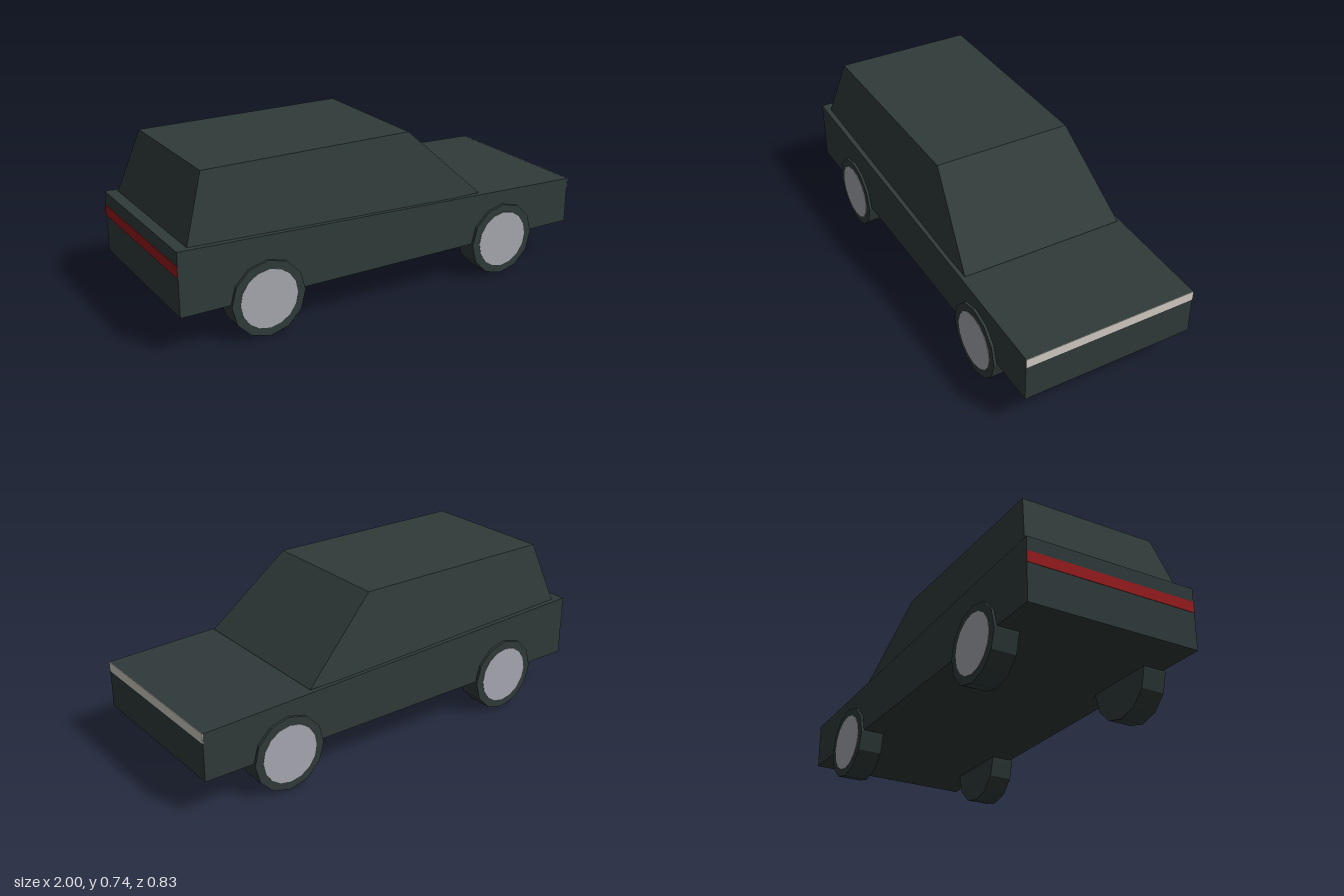
import * as THREE from 'three';

const paint = (name, color, flatShading = false) => {
  const m = new THREE.MeshStandardMaterial({ color, flatShading });
  m.name = name;
  return m;
};

// Unit box whose corners are placed by a rule of its (x, y, z) signs
function shapedBox(rule) {
  const geometry = new THREE.BoxGeometry(2, 2, 2);
  const p = geometry.attributes.position;
  for (let i = 0; i < p.count; i++) {
    p.setXYZ(i, ...rule(p.getX(i), p.getY(i), p.getZ(i)));
  }
  geometry.computeVertexNormals();
  return geometry;
}

export function createModel() {
  const car = new THREE.Group();
  car.name = 'car';

  const darkGreen = paint('dark green', 0x2f3a39, true);
  const hubGrey = paint('hub grey', 0xa6a7af);
  const lampCream = paint('lamp cream', 0xd0cbc2);
  const lampRed = paint('lamp red', 0x951a1d);

  const add = (name, geometry, material, x = 0, y = 0, z = 0, parent = car) => {
    const mesh = new THREE.Mesh(geometry, material);
    mesh.name = name;
    mesh.position.set(x, y, z);
    parent.add(mesh);
    return mesh;
  };

  // Lower body, its top sloping down towards the nose
  add('body', shapedBox((x, y, z) => [
    x * 0.998, y < 0 ? 0.176 : x < 0 ? 0.458 : 0.391, z * 0.4,
  ]), darkGreen);

  // Cabin, tapering to the roof
  add('cabin', shapedBox((x, y, z) => y > 0
    ? [x < 0 ? -0.85 : 0.13, 0.74, z * 0.32]
    : [x < 0 ? -0.96 : 0.48, 0.413, z * 0.383]), darkGreen);

  // Full-width light strips
  add('headlightStrip', new THREE.BoxGeometry(0.004, 0.043, 0.8), lampCream, 0.998, 0.3695, 0);
  add('taillightStrip', new THREE.BoxGeometry(0.004, 0.05, 0.8), lampRed, -0.998, 0.37, 0);

  // Wheels with pale hubs on the outer faces
  const tyre = new THREE.CylinderGeometry(0.17, 0.17, 0.112, 12).rotateX(Math.PI / 2);
  const hub = new THREE.CylinderGeometry(0.132, 0.132, 0.004, 16).rotateX(Math.PI / 2);
  for (const [end, x] of [['rear', -0.61], ['front', 0.605]]) {
    for (const [label, side] of [['Near', 1], ['Far', -1]]) {
      const wheel = new THREE.Group();
      wheel.name = `${end}Wheel${label}`;
      wheel.position.set(x, 0.17, side * 0.356);
      add('tyre', tyre, darkGreen, 0, 0, 0, wheel);
      add('hub', hub, hubGrey, 0, 0, side * 0.056, wheel);
      car.add(wheel);
    }
  }

  return car;
}
